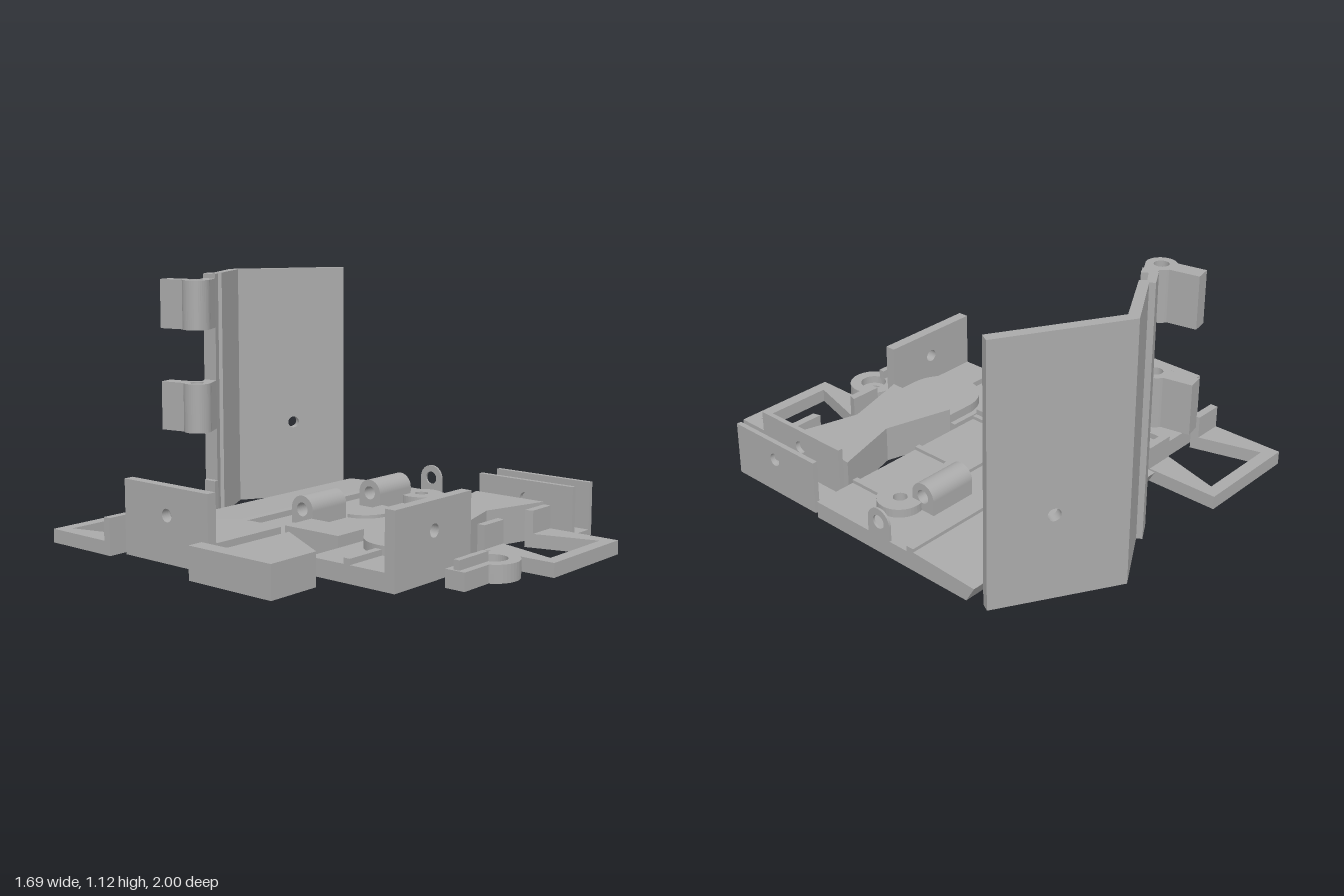
import * as THREE from 'three';

const PI = Math.PI;

export function createModel() {
  const group = new THREE.Group();
  const grey = new THREE.MeshStandardMaterial({ color: 0xaaaaaa });
  grey.name = 'plain grey';

  const add = (name, geometry) => {
    const mesh = new THREE.Mesh(geometry, grey);
    mesh.name = name;
    group.add(mesh);
    return mesh;
  };
  const circle = (x, y, r) => new THREE.Path().absarc(x, y, r, 0, PI * 2, true);
  const extrude = (shape, depth) =>
    new THREE.ExtrudeGeometry(shape, { depth, bevelEnabled: false, curveSegments: 20 });

  // Outline in (x, z) raised from y0 to y1; holes are [x, z, r]
  const raise = (name, shape, y0, y1, holes = []) => {
    for (const [x, z, r] of holes) shape.holes.push(circle(x, -z, r));
    return add(name, extrude(shape, y1 - y0).rotateX(-PI / 2).translate(0, y0, 0));
  };
  const outline = (pts) => new THREE.Shape(pts.map(([x, z]) => new THREE.Vector2(x, -z)));
  const prism = (name, pts, y0, y1, holes) => raise(name, outline(pts), y0, y1, holes);
  const box = (name, x0, x1, y0, y1, z0, z1) =>
    add(name, new THREE.BoxGeometry(x1 - x0, y1 - y0, z1 - z0)
      .translate((x0 + x1) / 2, (y0 + y1) / 2, (z0 + z1) / 2));
  const disc = (x, z, r) => new THREE.Shape().absarc(x, -z, r, 0, PI * 2, false);

  // Upright walls with one round hole: across x, or across z
  const wallX = (name, x0, x1, h, z0, z1, hx, hy) => {
    const s = new THREE.Shape([[x0, 0], [x1, 0], [x1, h], [x0, h]].map((p) => new THREE.Vector2(...p)));
    s.holes.push(circle(hx, hy, 0.028));
    add(name, extrude(s, z1 - z0).translate(0, 0, z0));
  };
  const wallZ = (name, z0, z1, h, x0, x1, hz, hy) => {
    const s = new THREE.Shape([[-z1, 0], [-z0, 0], [-z0, h], [-z1, h]].map((p) => new THREE.Vector2(...p)));
    s.holes.push(circle(-hz, hy, 0.028));
    add(name, extrude(s, x1 - x0).rotateY(PI / 2).translate(x0, 0, 0));
  };

  // Two open dovetail frames, mirrored in z, with raised lips at the ends
  for (const [cx, zOpen, dir] of [[-0.545, -0.58, -1], [0.35, 0.63, 1]]) {
    const z = (d) => zOpen + dir * d;
    const pts = [[-0.245, 0], [-0.1, 0], [-0.187, 0.31], [0.187, 0.31], [0.1, 0], [0.245, 0],
      [0.245, 0.365], [-0.245, 0.365]].map(([x, d]) => [cx + x, z(d)]);
    prism('dovetailFrame', pts, 0, 0.06);
    for (const s of [-1, 1]) {
      prism('frameLip', [[cx + s * 0.245, z(0)], [cx + s * 0.1, z(0)],
        [cx + s * 0.11, z(0.035)], [cx + s * 0.245, z(0.035)]], 0.06, 0.16);
    }
  }

  // Bow tie key
  prism('bowTie', [[0.03, 0.245], [0.335, 0.33], [0.64, 0.245], [0.64, 0.6],
    [0.335, 0.515], [0.03, 0.6]], 0, 0.16);

  // Angled stop with two holes in its slanted face
  prism('angledStop', [[-0.845, -0.055], [-0.775, -0.055], [-0.775, 0.085], [-0.425, 0.085],
    [-0.595, 0.38], [-0.845, 0.38]], 0, 0.14);
  for (const x of [-0.565, -0.495]) {
    const z = 0.38 - (x + 0.595) * 1.735;
    const hole = add('stopHole', new THREE.CylinderGeometry(0.02, 0.02, 0.004, 20).rotateX(PI / 2));
    hole.position.set(x, 0.075, z);
    hole.rotation.y = PI / 3;
  }

  // Bracket with side wall and rounded pad
  box('sideBracketBase', -0.68, -0.3, 0, 0.075, -0.555, -0.07);
  wallZ('sideBracketWall', -0.555, -0.07, 0.32, -0.725, -0.68, -0.305, 0.2);
  const padB = new THREE.Shape().moveTo(-0.675, 0.07).lineTo(-0.305, 0.07).lineTo(-0.305, 0.225);
  padB.absarc(-0.49, 0.225, 0.185, 0, PI, false);
  raise('sideBracketPad', padB, 0.075, 0.115);
  box('sideBracketRib', -0.52, -0.488, 0.075, 0.1, -0.555, -0.4);

  // Bracket with front wall and rounded pad
  box('frontBracketBase', -0.48, 0.005, 0, 0.075, 0.24, 0.62);
  wallX('frontBracketWall', -0.48, 0.005, 0.32, 0.62, 0.668, -0.235, 0.2);
  const padC = new THREE.Shape().moveTo(0.005, -0.265).lineTo(-0.115, -0.265);
  padC.absarc(-0.115, -0.435, 0.17, PI / 2, PI * 1.5, false).lineTo(0.005, -0.605);
  raise('frontBracketPad', padC, 0.075, 0.115);
  box('frontBracketRib', -0.48, -0.28, 0.075, 0.1, 0.417, 0.45);

  // U channel
  box('channelBase', 0.687, 0.803, 0, 0.027, 0.245, 0.73);
  for (const x of [0.665, 0.803]) wallZ('channelWall', 0.245, 0.73, 0.237, x, x + 0.022, 0.49, 0.155);

  // Small latch: eye with a counterbore, stem and fin
  raise('latchEyeLower', disc(-0.03, 0.803, 0.108), 0, 0.04, [[-0.03, 0.803, 0.03]]);
  raise('latchEyeUpper', disc(-0.03, 0.803, 0.108), 0.04, 0.075, [[-0.03, 0.803, 0.058]]);
  box('latchStem', -0.285, -0.125, 0, 0.075, 0.757, 0.848);
  box('latchFin', -0.275, -0.083, 0.07, 0.115, 0.789, 0.816);

  // Base plate: holed front slab, and a sloped back with an undercut edge
  prism('basePlateFront', [[-0.275, 0.215], [0.84, 0.215], [0.84, -0.305], [-0.275, -0.305]],
    0, 0.075, [[0.625, -0.05, 0.03]]);
  const back = new THREE.Shape([[0.305, 0], [0.62, 0], [0.66, 0.07], [0.34, 0.085],
    [0.34, 0.1], [0.305, 0.1]].map((p) => new THREE.Vector2(...p)));
  add('basePlateBack', extrude(back, 1.115).rotateY(PI / 2).translate(-0.275, 0, 0));
  box('plateCornerBlock', -0.275, -0.11, 0.075, 0.115, -0.075, 0.215);
  raise('plateEye', disc(0.625, -0.05, 0.097), 0.075, 0.112, [[0.625, -0.05, 0.03]]);
  for (const x of [-0.1, 0.265, 0.63]) box('plateRib', x - 0.013, x + 0.013, 0.075, 0.09, 0.02, 0.215);
  const dish = new THREE.Shape().moveTo(0.13, 0.09).absarc(0.265, 0.09, 0.12, PI, PI * 2, false);
  raise('platePad', dish, 0.075, 0.09);

  // Hinge barrels on the plate
  for (const [x0, x1] of [[-0.085, 0.135], [0.37, 0.595], [0.83, 0.84]]) {
    const s = new THREE.Shape().moveTo(0.09, 0.07).lineTo(0.21, 0.07).lineTo(0.21, 0.14);
    s.absarc(0.15, 0.14, 0.06, 0, PI, false);
    s.holes.push(circle(0.15, 0.14, 0.03));
    add('plateHingeBarrel', extrude(s, x1 - x0).rotateY(PI / 2).translate(x0, 0, 0));
  }

  // Upright folded lid: holed panel, then the stepped near half
  const panel = new THREE.Shape([[0, 0], [0.56, 0], [0.56, 1.12], [0, 1.12]]
    .map((p) => new THREE.Vector2(...p)));
  panel.holes.push(circle(0.3, 0.37, 0.027));
  const lid = add('lidOuterPanel', extrude(panel, 0.044));
  lid.position.set(0.35, 0, -1);
  lid.rotation.y = -PI / 6;
  prism('lidInnerPanel', [[0.35, -1], [0.35, -0.948], [0.09, -0.797], [0.07, -0.82], [0.015, -0.785],
    [0.03, -0.76], [-0.012, -0.737], [-0.015, -0.81], [0.07, -0.86], [0.085, -0.84]], 0, 1.12);

  // Lid hinge foot and knuckles, each with a lever
  prism('lidFoot', [[-0.04, -0.79], [-0.01, -0.81], [-0.01, -0.735], [-0.04, -0.725]], 0, 0.18);
  for (const y of [0.42, 0.88]) {
    raise('lidKnuckle', disc(-0.125, -0.742, 0.062), y, y + 0.22, [[-0.125, -0.742, 0.03]]);
    prism('knuckleLink', [[-0.085, -0.76], [-0.01, -0.81], [-0.01, -0.737], [-0.09, -0.692]], y, y + 0.22);
    prism('knuckleLever', [[-0.19, -0.905], [-0.122, -0.92], [-0.098, -0.797],
      [-0.125, -0.778], [-0.155, -0.77], [-0.168, -0.785]], y, y + 0.22);
  }

  return group;
}
